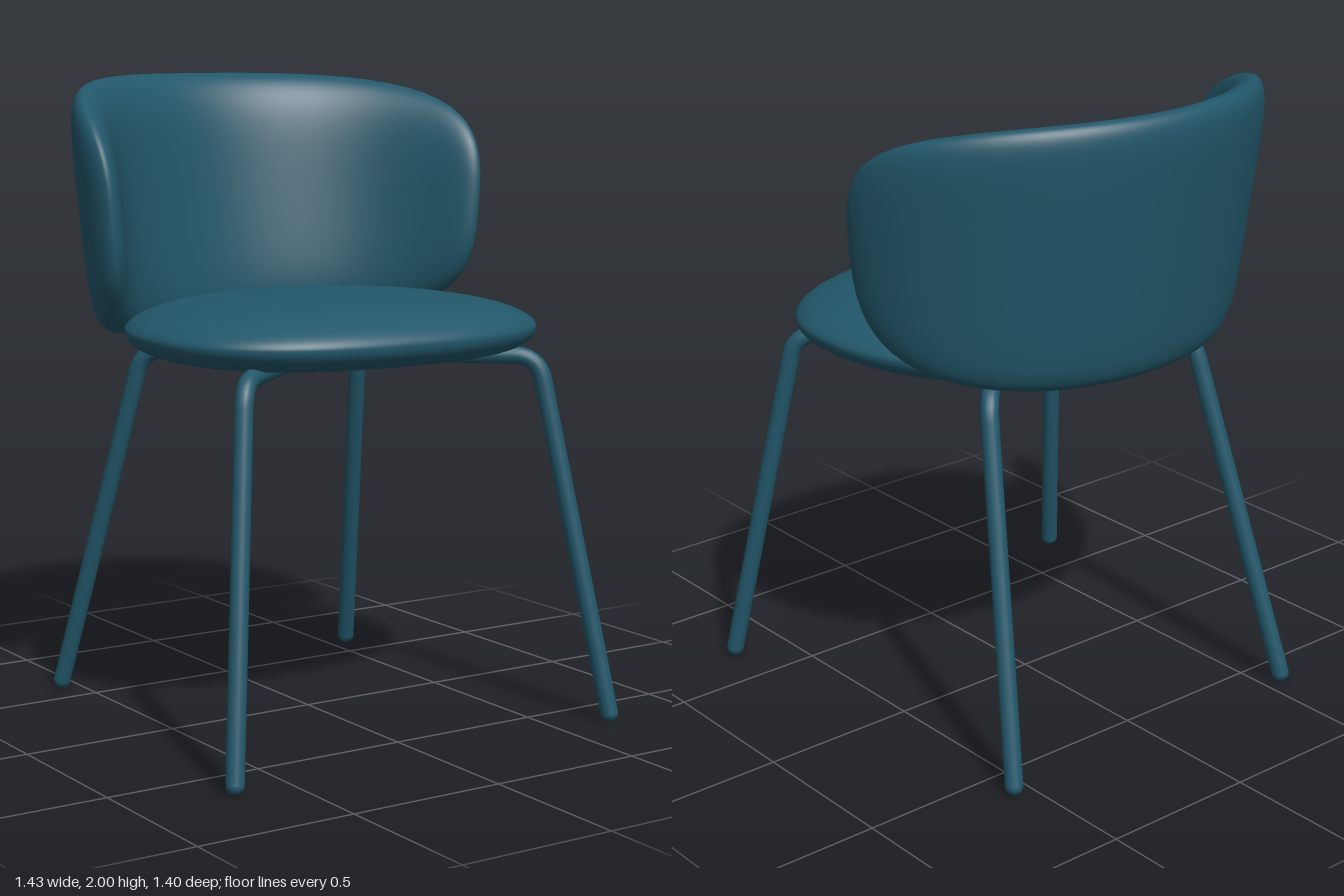
import * as THREE from 'three';
import { mergeVertices } from 'three/addons/utils/BufferGeometryUtils.js';

const lerp = THREE.MathUtils.lerp;

// Closed cushion: a sphere whose vertices are remapped by place(cos, sin, r, side, target)
function cushion(place) {
  let geo = new THREE.SphereGeometry(1, 96, 64);
  geo.deleteAttribute('normal');
  geo.deleteAttribute('uv');
  geo = mergeVertices(geo, 1e-5);
  const pos = geo.attributes.position;
  const p = new THREE.Vector3();
  for (let i = 0; i < pos.count; i++) {
    p.fromBufferAttribute(pos, i);
    const r = Math.min(1, Math.hypot(p.x, p.z));
    const c = r > 1e-6 ? p.x / r : 1;
    const s = r > 1e-6 ? p.z / r : 0;
    place(c, s, r, Math.sign(p.y), p);
    pos.setXYZ(i, p.x, p.y, p.z);
  }
  geo.computeVertexNormals();
  return geo;
}

// Scale that pushes a unit circle direction out to a superellipse of power n
const superScale = (c, s, n) => (Math.abs(c) ** n + Math.abs(s) ** n) ** (-1 / n);

// Pebble-shaped seat: squarer in front, rounder behind, domed top, flat base
function seatGeometry() {
  return cushion((c, s, r, side, p) => {
    const k = r * superScale(c, s, s > 0 ? 2.45 : 2);
    const height = side > 0
      ? 0.11 * (1 - r ** 2.8) ** 0.56
      : -0.085 * Math.sqrt(1 - r ** 7);
    p.set(0.645 * c * k, 1.23 + height, 0.15 + (s > 0 ? 0.48 : 0.65) * s * k);
  });
}

// Shell wrapped around an ellipse that widens and leans back upwards,
// thin on the outside and more softly padded on the inside
function backrestGeometry() {
  const reach = THREE.MathUtils.degToRad(88);
  return cushion((c, s, r, side, p) => {
    const k = r * superScale(c, s, 3);
    const a = reach * c * k;
    const y = 1.585 + 0.415 * s * k;
    const t = (y - 1.17) / 0.83;
    const rx = lerp(0.64, 0.71, t);
    const rz = lerp(0.525, 0.66, t);
    const nx = Math.sin(a) / rx, nz = -Math.cos(a) / rz;
    const depth = side > 0
      ? 0.052 * Math.sqrt(1 - r ** 9)
      : -0.1 * Math.sqrt(1 - r ** 5);
    const n = side === 0 ? 0 : depth / Math.hypot(nx, nz);
    p.set(rx * Math.sin(a) + nx * n, y, -rz * Math.cos(a) + nz * n);
  });
}

// Bent tube: foot, straight leg, rounded knee, bar to the centre under the seat
function leg(name, foot, knee, material) {
  const group = new THREE.Group();
  group.name = name;
  const radius = 0.028;
  const centre = new THREE.Vector3(0, 1.145, 0.04);
  const down = foot.clone().sub(knee).normalize().multiplyScalar(0.08).add(knee);
  const inward = centre.clone().sub(knee).normalize().multiplyScalar(0.08).add(knee);
  const path = new THREE.CurvePath();
  path.add(new THREE.LineCurve3(foot, down));
  path.add(new THREE.QuadraticBezierCurve3(down, knee, inward));
  path.add(new THREE.LineCurve3(inward, centre));
  const tube = new THREE.Mesh(new THREE.TubeGeometry(path, 120, radius, 16), material);
  tube.name = 'legTube';
  const tip = new THREE.Mesh(new THREE.SphereGeometry(radius, 16, 12), material);
  tip.name = 'footTip';
  tip.position.copy(foot);
  group.add(tube, tip);
  return group;
}

export function createModel() {
  const chair = new THREE.Group();
  chair.name = 'chair';
  const teal = new THREE.MeshStandardMaterial({ color: 0x22576a });
  teal.name = 'teal';

  const seat = new THREE.Mesh(seatGeometry(), teal);
  seat.name = 'seat';
  const backrest = new THREE.Mesh(backrestGeometry(), teal);
  backrest.name = 'backrest';
  chair.add(seat, backrest);

  // Four splayed legs, mirrored left and right
  for (const [side, label] of [[1, 'Left'], [-1, 'Right']]) {
    chair.add(
      leg('front' + label + 'Leg', new THREE.Vector3(side * 0.685, 0.028, 0.675),
        new THREE.Vector3(side * 0.533, 1.145, 0.487), teal),
      leg('back' + label + 'Leg', new THREE.Vector3(side * 0.562, 0.028, -0.617),
        new THREE.Vector3(side * 0.412, 1.145, -0.322), teal),
    );
  }
  return chair;
}
